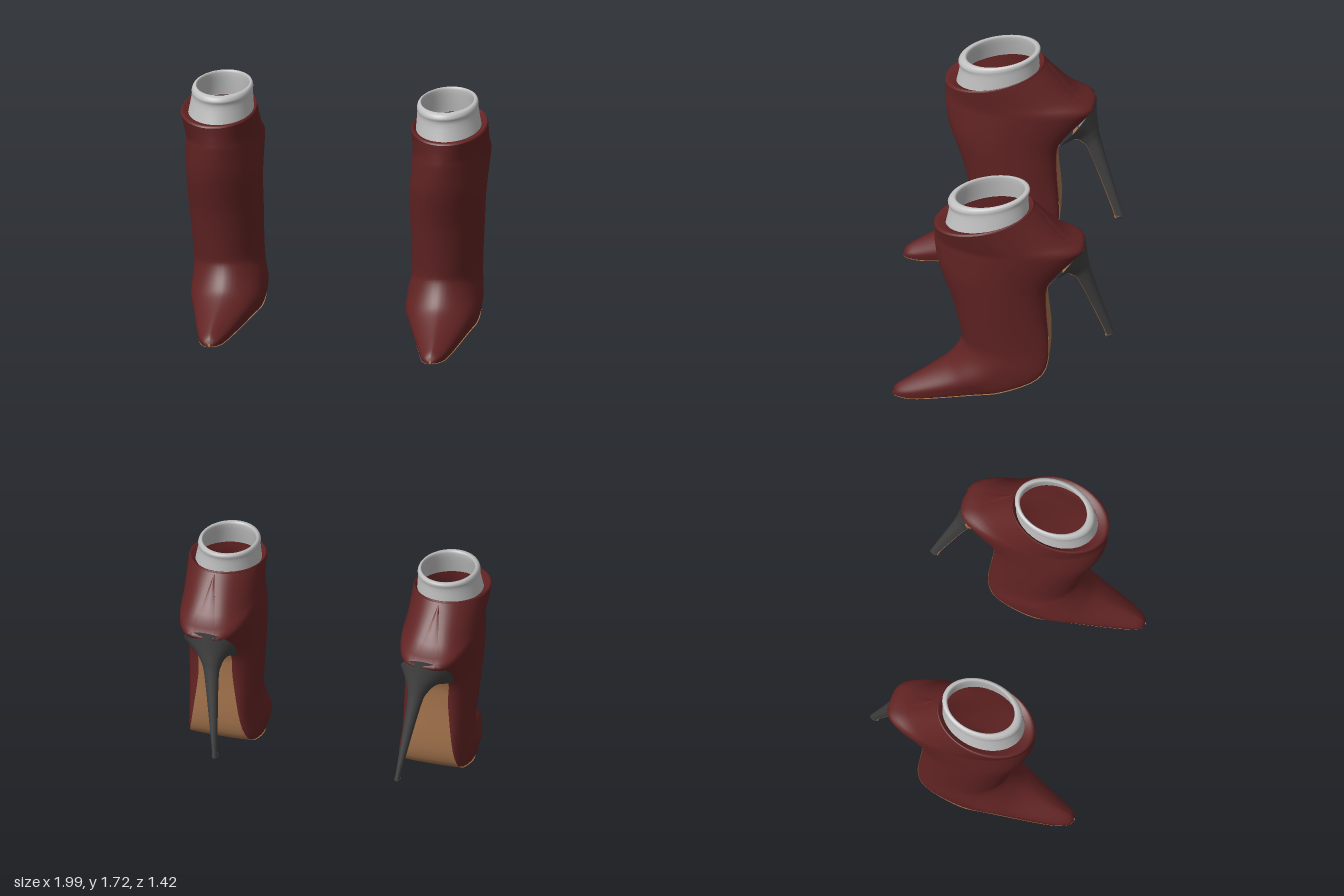
import * as THREE from 'three';
import { mergeVertices } from 'three/addons/utils/BufferGeometryUtils.js';

const mat = (name, color) => new THREE.MeshStandardMaterial({ name, color, side: THREE.DoubleSide });

const STEPS = 4; // rings drawn per key ring
const SOLE_KEYS = 8; // the sole stops at this key ring, where the heel begins

// Key ring: z, y of the rounded end, z, y of the flat end, half width, centre x, flat half width
const BODY = [
  [0.705, 0.03, 0.71, 0.012, 0.006, 0.72, 0.005],
  [0.685, 0.07, 0.68, 0.011, 0.05, 0.72, 0.045],
  [0.6, 0.13, 0.55, 0.025, 0.097, 0.72, 0.09],
  [0.41, 0.25, 0.2, 0.115, 0.185, 0.705, 0.175],
  [0.33, 0.325, 0, 0.17, 0.23, 0.7, 0.215],
  [0.27, 0.44, -0.23, 0.27, 0.237, 0.7, 0.195],
  [0.272, 0.53, -0.3, 0.44, 0.222, 0.71, 0.155],
  [0.33, 0.8, -0.28, 0.78, 0.235, 0.72, 0.11],
  [0.41, 1.05, -0.3, 0.98, 0.24, 0.728, 0.11],
  [0.438, 1.22, -0.47, 1.18, 0.242, 0.735, 0.09],
  [0.44, 1.28, -0.52, 1.255, 0.242, 0.738, 0.07],
  [0.44, 1.33, -0.39, 1.33, 0.242, 0.744, 0.05],
  [0.443, 1.385, -0.205, 1.53, 0.245, 0.752, 0],
];

// Rolled top edge
const RIM = [
  BODY[BODY.length - 1],
  [0.425, 1.4, -0.195, 1.54, 0.236, 0.75, 0],
  [0.37, 1.395, -0.17, 1.51, 0.21, 0.742, 0],
];

// Heel from seat to tip; the flat end faces forward
const HEEL = [
  [-0.53, 1.285, -0.275, 0.955, 0.17, 0.725],
  [-0.54, 1.16, -0.39, 1.015, 0.105, 0.705],
  [-0.55, 1.08, -0.45, 0.985, 0.065, 0.69],
  [-0.575, 0.95, -0.5, 0.9, 0.043, 0.675],
  [-0.7, 0.49, -0.65, 0.485, 0.017, 0.616],
  [-0.71, 0.44, -0.662, 0.43, 0.021, 0.61],
  [-0.692, 0.417, -0.688, 0.415, 0.002, 0.61],
].map((r) => [...r, 0.72 * r[4]]);

// Cuff from outside, over the lip and down inside
const CUFF = [
  [0.37, 1.37, -0.17, 1.49, 0.212, 0.742],
  [0.345, 1.5, -0.165, 1.6, 0.196, 0.735],
  [0.355, 1.54, -0.175, 1.64, 0.196, 0.734],
  [0.335, 1.57, -0.165, 1.655, 0.185, 0.733],
  [0.3, 1.562, -0.14, 1.64, 0.168, 0.732],
  [0.335, 1.4, -0.155, 1.5, 0.195, 0.74],
].map((r) => [...r, 0]);

// Smooth in-between rings (Catmull-Rom)
function refine(rings) {
  const out = [];
  const at = (i) => rings[Math.min(Math.max(i, 0), rings.length - 1)];
  for (let i = 0; i < rings.length - 1; i++) {
    for (let k = 0; k < STEPS; k++) {
      const t = k / STEPS;
      out.push(rings[i].map((b, c) => {
        const a = at(i - 1)[c], d = at(i + 1)[c], e = at(i + 2)[c];
        return b + 0.5 * t * (d - a + t * (2 * a - 5 * b + 4 * d - e + t * (3 * (b - d) + e - a)));
      }));
    }
  }
  return [...out, at(rings.length)];
}

// D-shaped section: the rounded sides, widest nearer the sole low on the foot
function roundSide([z0, y0, z1, y1, w, cx, s], u) {
  const a = Math.abs(u) * Math.PI;
  const f = Math.pow((1 - Math.cos(a)) / 2, Math.min(1, 0.6 + 0.7 * y0));
  const half = a < Math.PI / 2 ? w * Math.sin(a) : s + (w - s) * Math.sin(a);
  return [cx + Math.sign(u) * half, y0 + (y1 - y0) * f, z0 + (z1 - z0) * f];
}

// D-shaped section: the flat end, slightly proud of the sides
function flatSide([z0, y0, z1, y1, , cx, s], u) {
  const f = 1 + (0.004 + 0.006 * (1 - u * u)) / Math.max(0.05, Math.hypot(z1 - z0, y1 - y0));
  return [cx - u * s * 1.04, y0 + (y1 - y0) * f, z0 + (z1 - z0) * f];
}

// Skin a row of rings; side = -1 mirrors across x
function loft(rings, section, cols, side) {
  const pos = [], idx = [], row = cols + 1;
  rings.forEach((r, i) => {
    for (let j = 0; j <= cols; j++) {
      const [x, y, z] = section(r, (2 * j) / cols - 1);
      pos.push(x * side, y, z);
      if (i && j) {
        const d = i * row + j, c = d - 1, b = d - row, a = b - 1;
        if (side > 0) idx.push(a, b, d, a, d, c);
        else idx.push(a, d, b, a, c, d);
      }
    }
  });
  const open = new THREE.BufferGeometry();
  open.setAttribute('position', new THREE.Float32BufferAttribute(pos, 3));
  open.setIndex(idx);
  const skin = mergeVertices(open, 1e-5);
  skin.computeVertexNormals();
  return skin;
}

export function createModel() {
  const red = mat('dark red leather', 0x622323);
  const tan = mat('tan sole', 0xa0714b);
  const grey = mat('charcoal heel', 0x404040);
  const white = mat('pale grey cuff', 0xc0c0c0);
  const body = refine(BODY), heel = refine(HEEL);
  const soleEnd = SOLE_KEYS * STEPS;
  const model = new THREE.Group();
  model.name = 'ankleBoots';

  for (const side of [1, -1]) {
    const boot = new THREE.Group();
    boot.name = side > 0 ? 'leftBoot' : 'rightBoot';
    const add = (name, rings, section, cols, material) => {
      const mesh = new THREE.Mesh(loft(rings, section, cols, side), material);
      mesh.name = name;
      boot.add(mesh);
    };
    add('upper', body, roundSide, 48, red);
    add('rim', refine(RIM), roundSide, 48, red);
    add('sole', body.slice(0, soleEnd + 1), flatSide, 8, tan);
    add('heelCounter', body.slice(soleEnd), flatSide, 8, red);
    add('heel', heel, roundSide, 24, grey);
    add('heelBreast', heel.slice(STEPS), flatSide, 4, tan);
    add('cuff', refine(CUFF), roundSide, 48, white);
    // The right boot sits slightly higher
    boot.position.y = side > 0 ? 0 : 0.065;
    model.add(boot);
  }
  return model;
}
